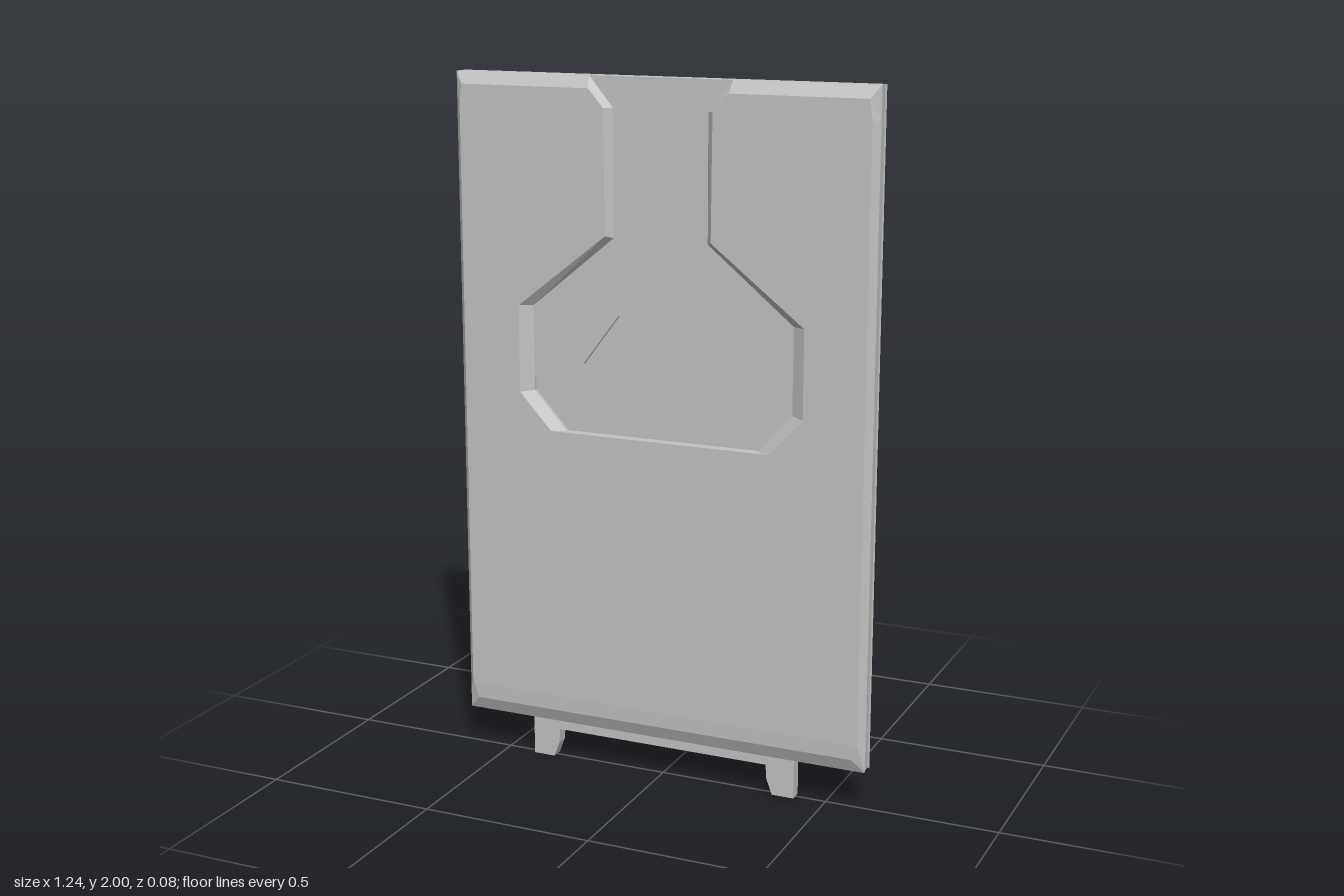
import * as THREE from 'three';

// Closed counterclockwise outline from its right half
const mirror = (half) => [...half, ...half.slice().reverse().map(([x, y]) => [-x, y])];
const vec = (pts) => pts.map(([x, y]) => new THREE.Vector2(x, y));

const BACK = 0.02, FRONT = 0.04;

// Bevelled cover plate: back outline and smaller front outline joined by sloped walls
function coverGeometry() {
  const base = mirror([
    [0.62, 0.115], [0.62, 0.2], [0.62, 1.91], [0.62, 2], [0.21, 2], [0.14, 1.915],
    [0.14, 1.56], [0.39, 1.355], [0.39, 1.11], [0.29, 1.0],
  ]);
  const front = mirror([
    [0.585, 0.155], [0.602, 0.2], [0.602, 1.91], [0.595, 1.966], [0.205, 1.966], [0.16, 1.915],
    [0.157, 1.567], [0.427, 1.355], [0.427, 1.105], [0.33, 1.0],
  ]);
  const n = base.length;
  const pos = [];
  const b = (i) => [...base[i], BACK];
  // the lowest pair of corners is set slightly back
  const f = (i) => [...front[i], i === 0 || i === n - 1 ? FRONT - 0.002 : FRONT];
  const tri = (...p) => p.forEach((q) => pos.push(...q));
  const quad = (p, q, r, s) => { tri(p, q, r); tri(p, r, s); };

  // sloped walls
  for (let i = 0; i < n; i++) {
    const j = (i + 1) % n;
    quad(b(i), b(j), f(j), f(i));
  }
  // lower facet and front face
  quad(f(n - 1), f(0), f(1), f(n - 2));
  for (const [p, q, r] of THREE.ShapeUtils.triangulateShape(vec(front.slice(1, n - 1)), [])) {
    tri(f(p + 1), f(q + 1), f(r + 1));
  }
  // back face
  for (const [p, q, r] of THREE.ShapeUtils.triangulateShape(vec(base), [])) tri(b(r), b(q), b(p));

  const g = new THREE.BufferGeometry();
  g.setAttribute('position', new THREE.Float32BufferAttribute(pos, 3));
  g.computeVertexNormals();
  return g;
}

// Thin layer of the core with the shallow pocket cut through
function floorGeometry() {
  const shape = new THREE.Shape(vec(mirror([[0.615, 0.115], [0.615, 2]])));
  shape.holes.push(new THREE.Path(vec(mirror([
    [0.29, 1.0], [0.39, 1.11], [0.39, 1.147], [0.235, 1.2], [0.125, 1.345],
  ]))));
  return new THREE.ExtrudeGeometry(shape, { depth: 0.01, bevelEnabled: false }).translate(0, 0, 0.01);
}

export function createModel() {
  const model = new THREE.Group();
  model.name = 'doorPanel';
  const grey = new THREE.MeshStandardMaterial({ color: 0xc2c2c2, flatShading: true });
  grey.name = 'light grey';

  const add = (name, geometry, parent = model) => {
    const mesh = new THREE.Mesh(geometry, grey);
    mesh.name = name;
    parent.add(mesh);
    return mesh;
  };

  // Middle slab, the bottom of both pockets
  add('core', new THREE.BoxGeometry(1.23, 1.885, 0.02).translate(0, 1.0575, 0));

  // Identical faces on both sides
  const cover = coverGeometry();
  const floor = floorGeometry();
  ['front', 'back'].forEach((side, i) => {
    const face = new THREE.Group();
    face.name = side + 'Face';
    face.rotation.y = i * Math.PI;
    add(side + 'RecessFloor', floor, face);
    add(side + 'Cover', cover, face);
    model.add(face);
  });

  // Bottom rail with two feet
  const feet = new THREE.Shape(vec([
    [-0.41, 0.125], [-0.41, 0], [-0.345, 0], [-0.328, 0.045], [-0.325, 0.088],
    [0.325, 0.088], [0.328, 0.045], [0.345, 0], [0.41, 0], [0.41, 0.125],
  ]));
  add('feet', new THREE.ExtrudeGeometry(feet, { depth: 0.036, bevelEnabled: false }).translate(0, 0, -0.018));

  return model;
}
